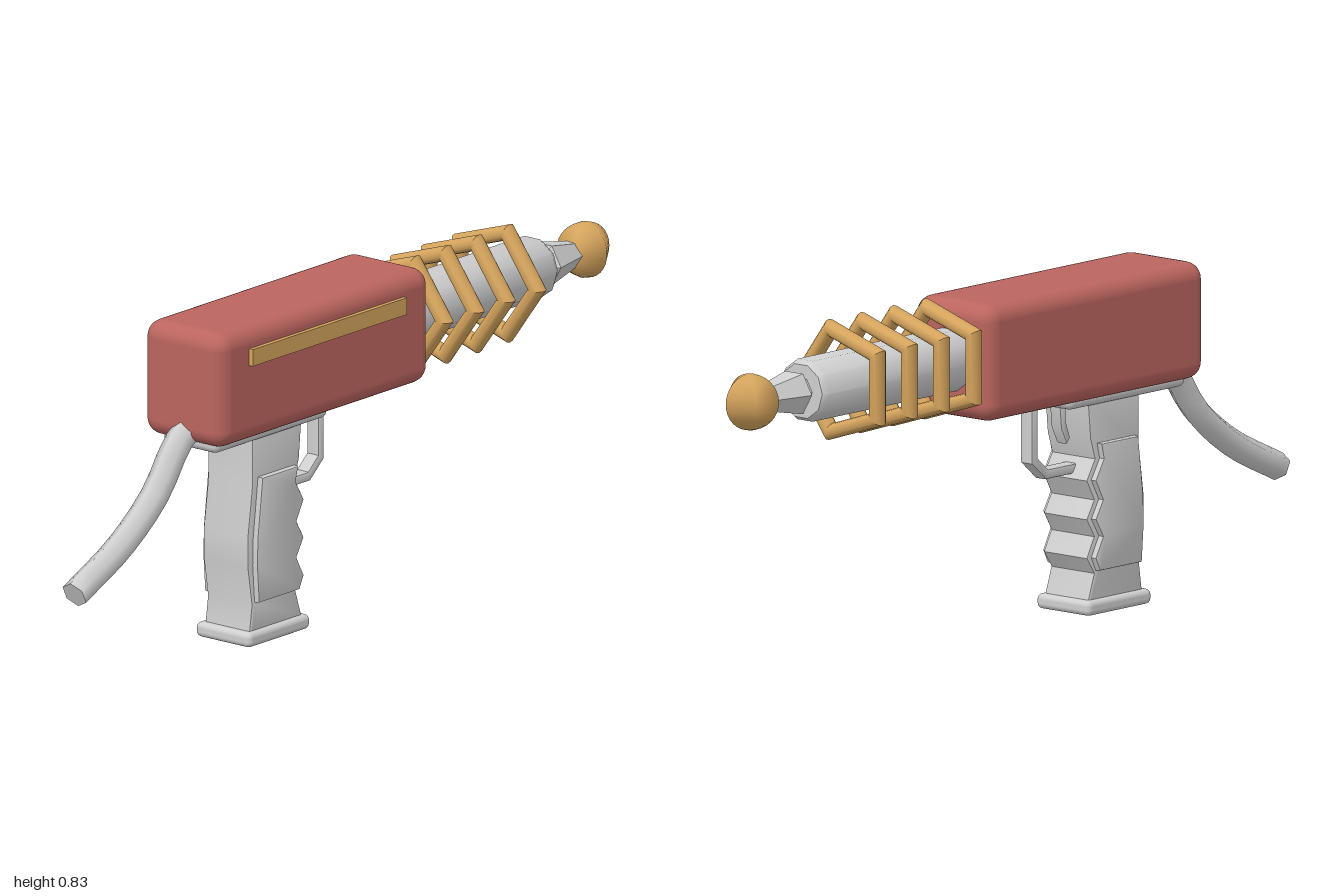
import * as THREE from 'three';
import { toCreasedNormals } from 'three/addons/utils/BufferGeometryUtils.js';
import { RoundedBoxGeometry } from 'three/addons/geometries/RoundedBoxGeometry.js';

const CX = -0.016; // centre plane of the gun
const AXIS_Y = 0.68; // height of the barrel axis

export function createModel() {
  const group = new THREE.Group();
  const material = (name, color) => {
    const m = new THREE.MeshStandardMaterial({ color });
    m.name = name;
    return m;
  };
  const red = material('red', 0xbb655f);
  const gold = material('gold', 0xd5a45d);
  const grey = material('lightGrey', 0xcfcfcf);

  const add = (name, geometry, mat, x = CX, y = 0, z = 0) => {
    const mesh = new THREE.Mesh(geometry, mat);
    mesh.name = name;
    mesh.position.set(x, y, z);
    group.add(mesh);
    return mesh;
  };

  // Side outline given as [z, y], extruded across x with a small bevel
  const sideExtrude = (points, width, bevel) => {
    const shape = new THREE.Shape(points.map(([z, y]) => new THREE.Vector2(-z, y)));
    const geo = new THREE.ExtrudeGeometry(shape, {
      depth: width - 2 * bevel, bevelEnabled: true, bevelThickness: bevel,
      bevelSize: bevel, bevelOffset: -bevel, bevelSegments: 2,
    });
    geo.translate(0, 0, -width / 2 + bevel);
    geo.rotateY(Math.PI / 2);
    return toCreasedNormals(geo, 0.6);
  };

  // Profile given as [radius, distance forward], revolved about the barrel axis
  const barrelLathe = (profile, sides, crease) => {
    const geo = new THREE.LatheGeometry(profile.map(([r, d]) => new THREE.Vector2(r, d)), sides);
    geo.rotateY(Math.PI / 2);
    geo.rotateX(-Math.PI / 2);
    return toCreasedNormals(geo, crease);
  };

  // Housing and its side strip
  add('housing', new RoundedBoxGeometry(0.253, 0.287, 0.795, 4, 0.042), red, CX, 0.6785, 0.1875);
  add('sideStrip', new THREE.BoxGeometry(0.03, 0.042, 0.58), gold, 0.107, 0.751, 0.19);

  // Barrel, nozzle and ball tip
  add('barrel', barrelLathe(
    [[0, 0.18], [0.078, 0.18], [0.078, 0.735], [0.068, 0.75], [0, 0.75]], 10, 0.7), grey, CX, AXIS_Y);
  add('nozzle', barrelLathe(
    [[0.036, 0.74], [0.036, 0.757], [0.057, 0.775], [0.03, 0.9], [0, 0.9]], 6, 0.2), grey, CX, AXIS_Y);
  const ball = new THREE.SphereGeometry(0.069, 5, 16);
  ball.rotateY(Math.PI);
  add('ballTip', ball, gold, CX, AXIS_Y, -0.934);

  // Five-sided coils around the barrel
  const coil = toCreasedNormals(new THREE.TorusGeometry(0.133, 0.023, 12, 5), 0.7);
  for (let i = 0; i < 4; i++) add('coil', coil, gold, CX, AXIS_Y, -0.245 - i * 0.1165);

  // Mounting plate, grip, grip panels and foot
  add('mountingPlate', new RoundedBoxGeometry(0.172, 0.05, 0.425, 3, 0.018), grey, CX, 0.539, 0.3425);
  const frontWave = [
    [0.235, 0.1], [0.208, 0.14], [0.235, 0.19], [0.208, 0.235],
    [0.235, 0.28], [0.208, 0.33], [0.238, 0.38],
  ];
  add('grip', sideExtrude([
    [0.412, 0.03], [0.402, 0.1], [0.418, 0.2], [0.418, 0.27], [0.4, 0.4], [0.4, 0.525],
    [0.213, 0.525], [0.222, 0.43], ...frontWave.slice().reverse(), [0.212, 0.03],
  ], 0.142, 0.008), grey);
  add('gripPanels', sideExtrude([
    [0.393, 0.107], [0.4, 0.2], [0.398, 0.27], [0.38, 0.418], [0.245, 0.418],
    ...frontWave.slice(1).reverse().map(([z, y]) => [z + 0.016, y]), [0.24, 0.107],
  ], 0.172, 0.005), grey);
  add('gripFoot', new RoundedBoxGeometry(0.172, 0.037, 0.232, 3, 0.014), grey, CX, 0.0185, 0.314);

  // Trigger and open-ended trigger guard
  add('trigger', sideExtrude([
    [0.195, 0.525], [0.195, 0.47], [0.21, 0.43], [0.198, 0.415], [0.177, 0.455], [0.17, 0.525],
  ], 0.034, 0.005), grey);
  add('triggerGuard', sideExtrude([
    [0.235, 0.34], [0.12, 0.34], [0.068, 0.385], [0.068, 0.52],
    [0.09, 0.52], [0.09, 0.397], [0.128, 0.364], [0.235, 0.364],
  ], 0.038, 0.005), grey);

  // Six-sided cable hanging from the rear
  const hexagon = new THREE.Shape(Array.from({ length: 6 }, (_, i) => {
    const a = (i + 0.5) * Math.PI / 3;
    return new THREE.Vector2(0.035 * Math.cos(a), 0.035 * Math.sin(a));
  }));
  const path = new THREE.CatmullRomCurve3(
    [[0.59, 0.5], [0.545, 0.59], [0.43, 0.68], [0.33, 0.81], [0.245, 0.985]]
      .map(([y, z]) => new THREE.Vector3(0, y, z)));
  const cable = new THREE.ExtrudeGeometry(hexagon, { steps: 12, bevelEnabled: false, extrudePath: path });
  add('cable', toCreasedNormals(cable, 1.1), grey);

  return group;
}
